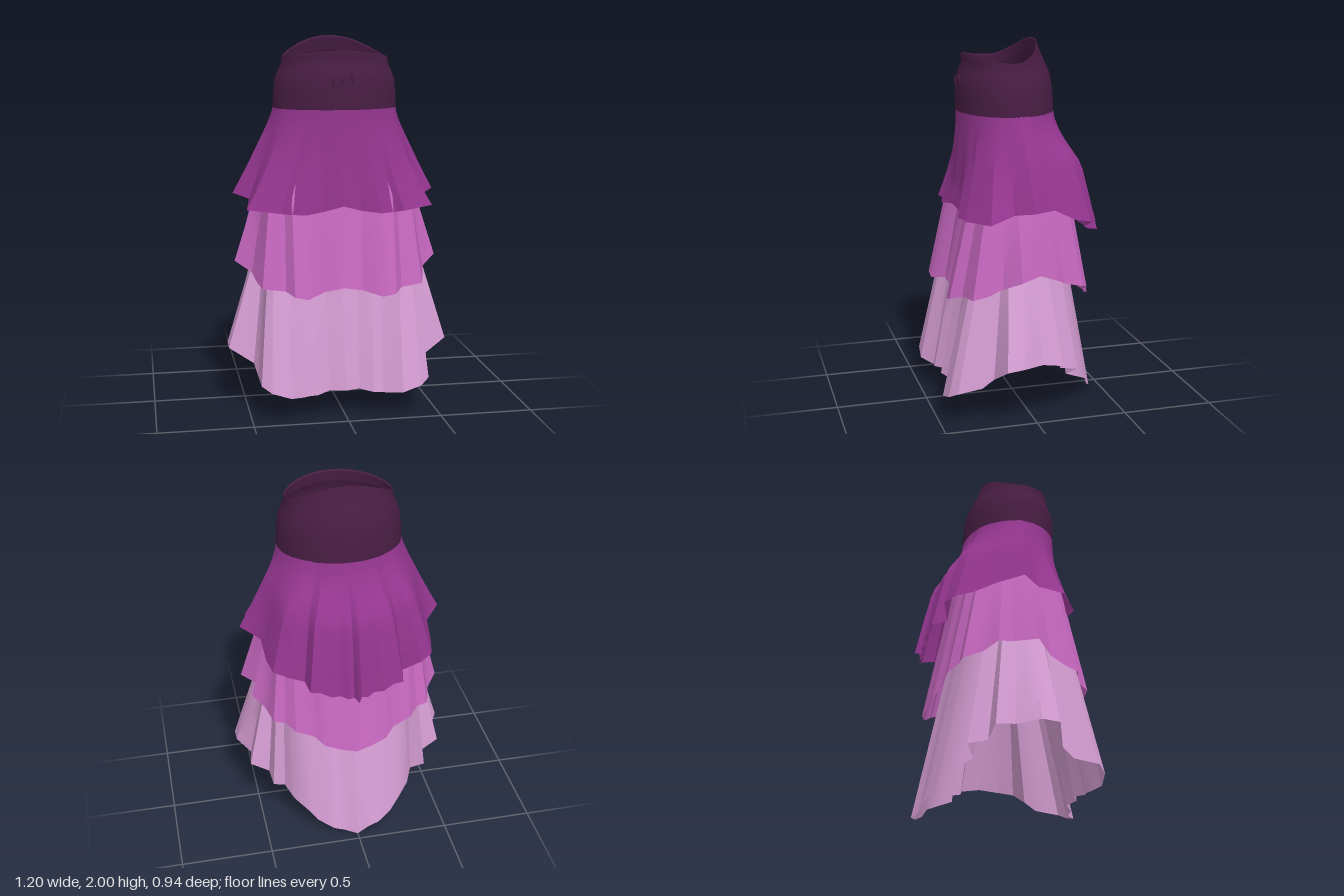
import * as THREE from 'three';
import { toCreasedNormals } from 'three/addons/utils/BufferGeometryUtils.js';

const CZ = 0.06; // depth of the widest part of each oval

function cloth(name, hex) {
  const m = new THREE.MeshStandardMaterial({ color: hex, side: THREE.DoubleSide });
  m.name = name;
  return m;
}

// Point on an oval with different front and back depths; t = 0 is front, PI is back.
function oval(t, rx, zf, zb) {
  const c = Math.cos(t);
  return [rx * Math.sin(t), CZ + c * (c > 0 ? zf - CZ : CZ - zb)];
}

// Joins closed rings, listed from top to bottom, into one creased surface.
function skin(name, rings, material, crease) {
  const n = rings[0].length, index = [];
  for (let r = 0; r < rings.length - 1; r++) {
    for (let i = 0; i < n; i++) {
      const j = (i + 1) % n, a = r * n + i, b = r * n + j;
      index.push(a, a + n, b, b, a + n, b + n);
    }
  }
  const g = new THREE.BufferGeometry();
  g.setAttribute('position', new THREE.Float32BufferAttribute(rings.flat(2), 3));
  g.setIndex(index);
  const mesh = new THREE.Mesh(toCreasedNormals(g, crease), material);
  mesh.name = name;
  return mesh;
}

// Mirrors a half hem (front to back) into a loop with midpoints added.
function fullHem(half) {
  const mirrored = half.slice(1, -1).reverse().map(([x, y, z]) => [-x, y, z]);
  const loop = [...half, ...mirrored], out = [];
  loop.forEach((p, i) => {
    const q = loop[(i + 1) % loop.length];
    out.push(p, p.map((v, k) => (v + q[k]) / 2));
  });
  return out;
}

// Pleated tier: each hem point runs up to its own top point.
// start(x, z) returns [x, z, flare], where flare(v) eases from top to hem.
function tier(name, topY, half, start, material) {
  const rows = 12, rings = Array.from({ length: rows + 1 }, () => []);
  for (const [x, y, z] of fullHem(half)) {
    const [tx, tz, flare] = start(x, z);
    rings.forEach((ring, r) => {
      const v = r / rows, f = flare(v);
      ring.push([tx + (x - tx) * f, topY + (y - topY) * v, tz + (z - tz) * f]);
    });
  }
  return skin(name, rings, material, 0.5);
}

// Bulging drape of the back: flare at equal steps of height.
const BACK_DRAPE = [0, 0.05, 0.18, 0.36, 0.58, 0.69, 0.75, 0.82, 0.88, 0.94, 1];
function backDrape(v) {
  const s = v * 10, i = Math.min(9, Math.floor(s));
  return THREE.MathUtils.lerp(BACK_DRAPE[i], BACK_DRAPE[i + 1], s - i);
}

// Top edge sewn smoothly to the waistband; the back bulges and the front hangs straight.
function sewnTop(x, z) {
  const t = Math.atan2(x / 0.55, (z - CZ) / (z > CZ ? 0.4 : 0.46)), c = Math.cos(t);
  const flare = (v) => THREE.MathUtils.lerp(
    Math.pow(v, 1.2 + 0.6 * Math.max(0, c)), backDrape(v), Math.max(0, -c));
  return [...oval(t, 0.332, 0.3, -0.213), flare];
}

// Hidden top edge that keeps the pleats, narrowed at the sides, front and back.
function pleatedTop(rx, front, back) {
  return (x, z) => [
    rx * Math.sin(Math.max(-1, Math.min(1, x / 0.55)) * Math.PI / 2),
    CZ + (z - CZ) * (z > CZ ? front : back), (v) => v,
  ];
}

// Rim dips at the sides and rises at the back.
function rimHeight(t) {
  const c = Math.cos(t);
  return 1.89 + (c > 0 ? 0.035 * c * c : 0.11 * c * c);
}

function waistband(material) {
  // [fraction of height from rim down, half width, front z, back z]
  const profile = [
    [0.2, 0.283, 0.262, -0.125], [0.02, 0.278, 0.258, -0.112], [0, 0.284, 0.268, -0.118],
    [0.07, 0.288, 0.272, -0.128], [0.15, 0.291, 0.266, -0.137], [0.28, 0.308, 0.285, -0.16],
    [0.45, 0.324, 0.3, -0.19], [0.7, 0.331, 0.302, -0.208], [1, 0.334, 0.302, -0.215],
  ];
  const n = 64;
  const rings = profile.map(([f, rx, zf, zb]) => Array.from({ length: n }, (_, i) => {
    const t = i / n * Math.PI * 2;
    const [x, z] = oval(t, rx, zf, zb);
    const rim = rimHeight(t);
    return [x, rim + (1.62 - rim) * f, z];
  }));
  return skin('waistband', rings, material, 0.7);
}

export function createModel() {
  const group = new THREE.Group();
  group.name = 'tieredSkirt';
  const plum = cloth('dark plum', 0x481d44);
  const purple = cloth('purple', 0x953690);
  const orchid = cloth('orchid', 0xc768c0);
  const lilac = cloth('pale lilac', 0xd69ed4);

  group.add(waistband(plum));

  // Small gathered wrinkles at the front of the waistband
  for (const [x, y, tilt] of [[-0.05, 1.77, 0.1], [0, 1.78, -0.4], [0.05, 1.79, 0.1]]) {
    const fold = new THREE.Mesh(new THREE.SphereGeometry(1, 8, 6), plum);
    fold.scale.set(0.009, 0.032, 0.006);
    fold.position.set(x, y, 0.3);
    fold.rotation.z = tilt;
    fold.name = 'waistWrinkle';
    group.add(fold);
  }

  group.add(tier('topTier', 1.63, [
    [0, 1.12, 0.345], [0.1, 1.09, 0.315], [0.2, 1.08, 0.355], [0.28, 1.08, 0.32],
    [0.33, 1.09, 0.345], [0.5, 1.1, 0.25], [0.475, 1.14, 0.12], [0.555, 1.16, 0.03],
    [0.46, 1.15, -0.1], [0.45, 1.09, -0.22], [0.43, 1.07, -0.31], [0.36, 1.06, -0.36],
    [0.265, 1.0, -0.33], [0.25, 0.98, -0.41], [0.2, 0.97, -0.405], [0.14, 0.95, -0.43],
    [0.09, 0.94, -0.415], [0.05, 0.93, -0.44], [0.02, 0.93, -0.43], [0, 0.92, -0.47],
  ], sewnTop, purple));

  group.add(tier('middleTier', 1.33, [
    [0, 0.69, 0.38], [0.1, 0.67, 0.36], [0.2, 0.645, 0.42], [0.27, 0.66, 0.42],
    [0.31, 0.68, 0.36], [0.43, 0.69, 0.33], [0.45, 0.71, 0.26], [0.47, 0.75, 0.18],
    [0.555, 0.8, 0.1], [0.48, 0.81, -0.02], [0.52, 0.79, -0.1], [0.46, 0.75, -0.17],
    [0.43, 0.72, -0.27], [0.37, 0.71, -0.28], [0.32, 0.68, -0.33], [0.22, 0.64, -0.345],
    [0.17, 0.6, -0.385], [0.08, 0.57, -0.4], [0, 0.56, -0.42],
  ], pleatedTop(0.385, 0.58, 0.68), orchid));

  group.add(tier('bottomTier', 1.02, [
    [0, 0.14, 0.415], [0.08, 0.135, 0.38], [0.15, 0.125, 0.42], [0.2, 0.12, 0.415],
    [0.23, 0.12, 0.43], [0.3, 0.13, 0.47], [0.4, 0.16, 0.46], [0.45, 0.19, 0.42],
    [0.455, 0.21, 0.29], [0.47, 0.26, 0.23], [0.6, 0.34, 0.19], [0.6, 0.35, 0.1],
    [0.535, 0.34, -0.02], [0.55, 0.33, -0.12], [0.45, 0.28, -0.14], [0.44, 0.26, -0.24],
    [0.37, 0.21, -0.2], [0.33, 0.17, -0.28], [0.26, 0.125, -0.35], [0.21, 0.07, -0.38],
    [0.13, 0.03, -0.42], [0.07, 0.01, -0.425], [0, 0, -0.46],
  ], pleatedTop(0.395, 0.52, 0.6), lilac));

  return group;
}
